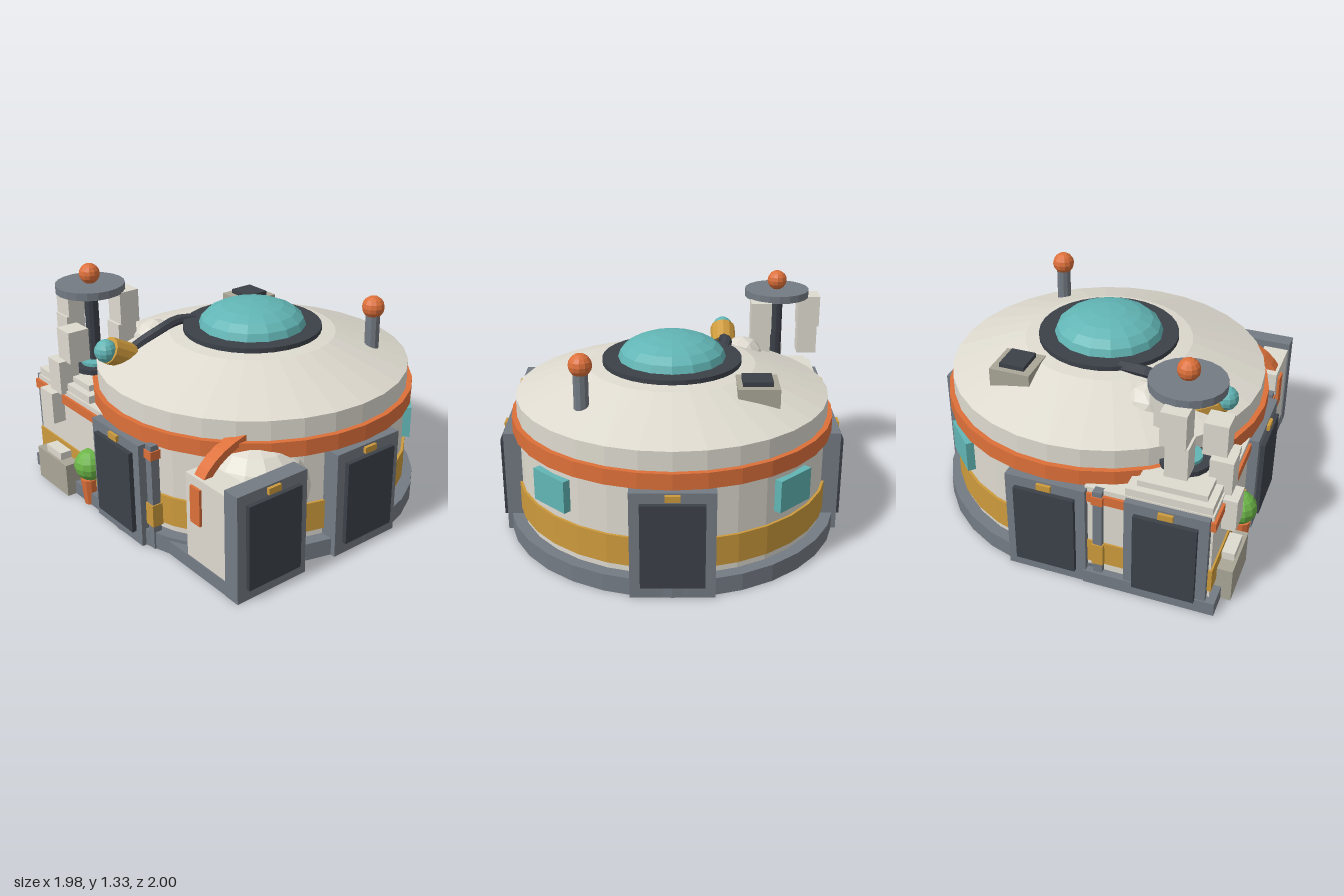
import * as THREE from 'three';

const mat = (name, color, extra = {}) => {
  const m = new THREE.MeshStandardMaterial({ color, flatShading: true, ...extra });
  m.name = name;
  return m;
};

export function createModel() {
  const cream = mat('cream', 0xdedacf);
  const taupe = mat('taupe', 0xaaa697);
  const grey = mat('grey', 0x747b84);
  const dark = mat('dark', 0x3c4149);
  const orange = mat('orange', 0xdd703a);
  const yellow = mat('yellow', 0xcd9a3c);
  const teal = mat('teal', 0x62b5b5);
  const green = mat('green', 0x6cb548);

  const root = new THREE.Group();
  root.name = 'domedHabitat';
  const CZ = -0.015; // centre of the round body

  const add = (name, geo, material, x = 0, y = 0, z = 0, parent = root) => {
    const m = new THREE.Mesh(geo, material);
    m.name = name;
    m.position.set(x, y, z);
    parent.add(m);
    return m;
  };
  // Box given by its limits on each axis
  const box = (name, material, x0, x1, y0, y1, z0, z1, parent = root) =>
    add(name, new THREE.BoxGeometry(x1 - x0, y1 - y0, z1 - z0), material,
      (x0 + x1) / 2, (y0 + y1) / 2, (z0 + z1) / 2, parent);
  // Upright cylinder from y0 to y1
  const cyl = (name, material, rTop, rBottom, y0, y1, x, z, sides = 32) =>
    add(name, new THREE.CylinderGeometry(rTop, rBottom, y1 - y0, sides), material, x, (y0 + y1) / 2, z);
  const ball = (name, material, r, x, y, z) =>
    add(name, new THREE.SphereGeometry(r, 12, 8), material, x, y, z);

  // Base: round slab with squared front corners
  cyl('baseSlab', grey, 0.965, 0.965, 0, 0.1, 0, CZ);
  box('baseCornerLeft', grey, 0, 0.96, 0, 0.08, 0.43, 0.875);
  box('baseCornerRight', grey, -0.97, 0, 0, 0.08, 0.2, 0.93);

  // Round wall, bands and roof
  cyl('roundWall', cream, 0.895, 0.895, 0.1, 0.62, 0, CZ);
  cyl('yellowBand', yellow, 0.91, 0.91, 0.14, 0.31, 0, CZ);
  cyl('orangeRing', orange, 0.93, 0.93, 0.61, 0.7, 0, CZ);
  const roofProfile = [[0.9, 0.7], [0.9, 0.81], [0.48, 0.965], [0.38, 0.975], [0, 0.975]]
    .map(([r, y]) => new THREE.Vector2(r, y));
  add('roof', new THREE.LatheGeometry(roofProfile, 32), cream, 0, 0, CZ);
  cyl('domeRim', dark, 0.4, 0.4, 0.965, 1.0, 0, CZ);
  const dome = add('dome', new THREE.SphereGeometry(0.31, 16, 5, 0, Math.PI * 2, 0, Math.PI / 2),
    teal, 0, 1.0, CZ);
  dome.scale.y = 0.137 / 0.31;

  // Doors, built facing +z and turned outwards
  const door = (name, x, z, turn) => {
    const g = new THREE.Group();
    g.name = name;
    box('doorFrame', grey, -0.225, 0.225, 0, 0.61, -0.1, 0, g);
    box('doorPanel', dark, -0.17, 0.17, 0.07, 0.55, -0.01, 0.026, g);
    box('doorLamp', yellow, -0.04, 0.04, 0.565, 0.6, -0.01, 0.018, g);
    g.position.set(x, 0, z);
    g.rotation.y = turn;
    root.add(g);
  };
  door('frontDoor', 0, 0.945, 0);
  door('backDoor', 0, -0.975, Math.PI);
  for (const s of [1, -1]) {
    door('sideDoor', s * 0.963, -0.01, s * Math.PI / 2);
    door('cornerDoor', s * 0.963, 0.653, s * Math.PI / 2);
  }

  // Windows on the back diagonals
  for (const s of [1, -1]) {
    const w = add('window', new THREE.BoxGeometry(0.25, 0.185, 0.06), teal, s * 0.64, 0.468, -0.645);
    w.rotation.y = s * Math.PI * 0.75;
  }

  // Right front room with flat walls and stepped roof
  box('cornerRoom', cream, -0.925, -0.2, 0.08, 0.62, 0.2, 0.89);
  box('cornerRoomYellowBand', yellow, -0.935, -0.2, 0.13, 0.27, 0.21, 0.9);
  box('cornerRoomOrangeBand', orange, -0.94, -0.2, 0.535, 0.59, 0.21, 0.905);
  box('roofStep', cream, -0.92, -0.36, 0.62, 0.665, 0.42, 0.88);
  box('roofStep', cream, -0.88, -0.42, 0.665, 0.7, 0.47, 0.84);
  cyl('towerFoot', dark, 0.14, 0.14, 0.7, 0.73, -0.64, 0.65, 16);
  cyl('towerFootLight', teal, 0.09, 0.09, 0.73, 0.75, -0.64, 0.65, 16);

  // Small banded posts beside the front and side doors
  for (const [x, z] of [[0.265, 0.885], [-0.93, 0.28]]) {
    box('post', grey, x - 0.025, x + 0.025, 0, 0.62, z - 0.025, z + 0.025);
    box('postYellowBand', yellow, x - 0.032, x + 0.032, 0.14, 0.27, z - 0.032, z + 0.032);
    box('postOrangeBand', orange, x - 0.032, x + 0.032, 0.54, 0.59, z - 0.032, z + 0.032);
  }

  // Tower with blocks winding down around the pole
  cyl('towerPole', dark, 0.04, 0.04, 0.7, 1.18, -0.66, 0.65, 10);
  cyl('towerDisc', grey, 0.2, 0.2, 1.17, 1.215, -0.66, 0.65, 20);
  ball('towerBall', orange, 0.06, -0.66, 1.27, 0.65);
  const blocks = [
    [-0.86, 1.078, 0.66, 0.135, 0.195], [-0.86, 0.89, 0.68, 0.12, 0.185],
    [-0.55, 1.078, 0.5, 0.125, 0.195], [-0.55, 0.9, 0.52, 0.12, 0.17],
    [-0.615, 0.893, 0.81, 0.13, 0.19], [-0.66, 0.705, 0.86, 0.125, 0.2],
    [-0.7, 0.515, 0.9, 0.135, 0.19],
  ];
  for (const [x, y, z, w, h] of blocks)
    add('towerBlock', new THREE.BoxGeometry(w, h, w), cream, x, y, z);

  // Crate and potted bush by the front wall
  box('crate', taupe, -0.83, -0.5, 0, 0.2, 0.86, 0.985);
  box('crateLid', cream, -0.745, -0.58, 0.2, 0.245, 0.88, 0.97);
  cyl('pot', orange, 0.05, 0.035, 0, 0.16, -0.36, 0.915, 10);
  ball('bush', green, 0.095, -0.358, 0.245, 0.9);

  // Left front bubble room, its end wall and strap
  const bubble = add('bubbleRoom', new THREE.SphereGeometry(0.3, 14, 10), cream, 0.62, 0.41, 0.49);
  bubble.scale.set(1.05, 0.94, 1);
  box('bubbleEndWall', cream, 0.54, 0.87, 0.08, 0.57, 0.72, 0.87);
  box('strapBuckle', orange, 0.59, 0.67, 0.31, 0.52, 0.85, 0.885);
  const strap = new THREE.Shape();
  strap.moveTo(-0.86, 0.56);
  strap.quadraticCurveTo(-0.78, 0.69, -0.58, 0.735);
  strap.lineTo(-0.58, 0.695);
  strap.quadraticCurveTo(-0.75, 0.65, -0.82, 0.54);
  const strapGeo = new THREE.ExtrudeGeometry(strap, { depth: 0.08, bevelEnabled: false, curveSegments: 5 });
  strapGeo.rotateY(Math.PI / 2);
  add('strap', strapGeo, orange, 0.59, 0, 0);

  // Antenna at the back left of the roof
  cyl('antennaPost', grey, 0.042, 0.042, 0.86, 1.08, 0.485, -0.5, 10);
  ball('antennaBall', orange, 0.065, 0.485, 1.12, -0.5);

  // Roof vent
  box('vent', taupe, -0.58, -0.35, 0.82, 0.975, -0.49, -0.255);
  box('ventGrille', dark, -0.545, -0.38, 0.97, 1.0, -0.445, -0.3);

  // Lamp on a bent cable, with a rounded mound beside it
  const cable = new THREE.CatmullRomCurve3([
    [-0.31, 0.98, 0.17], [-0.33, 0.99, 0.28], [-0.32, 0.965, 0.4], [-0.33, 0.92, 0.52], [-0.33, 0.87, 0.64],
  ].map((p) => new THREE.Vector3(...p)));
  add('lampCable', new THREE.TubeGeometry(cable, 10, 0.033, 8), dark);
  const housing = add('lampHousing', new THREE.CylinderGeometry(0.078, 0.078, 0.15, 12), yellow, -0.33, 0.888, 0.685);
  housing.rotation.x = Math.PI * 0.34;
  ball('lampLens', teal, 0.066, -0.33, 0.925, 0.77);
  add('roofMound', new THREE.IcosahedronGeometry(0.13, 1), cream, -0.43, 0.86, 0.37);

  return root;
}
